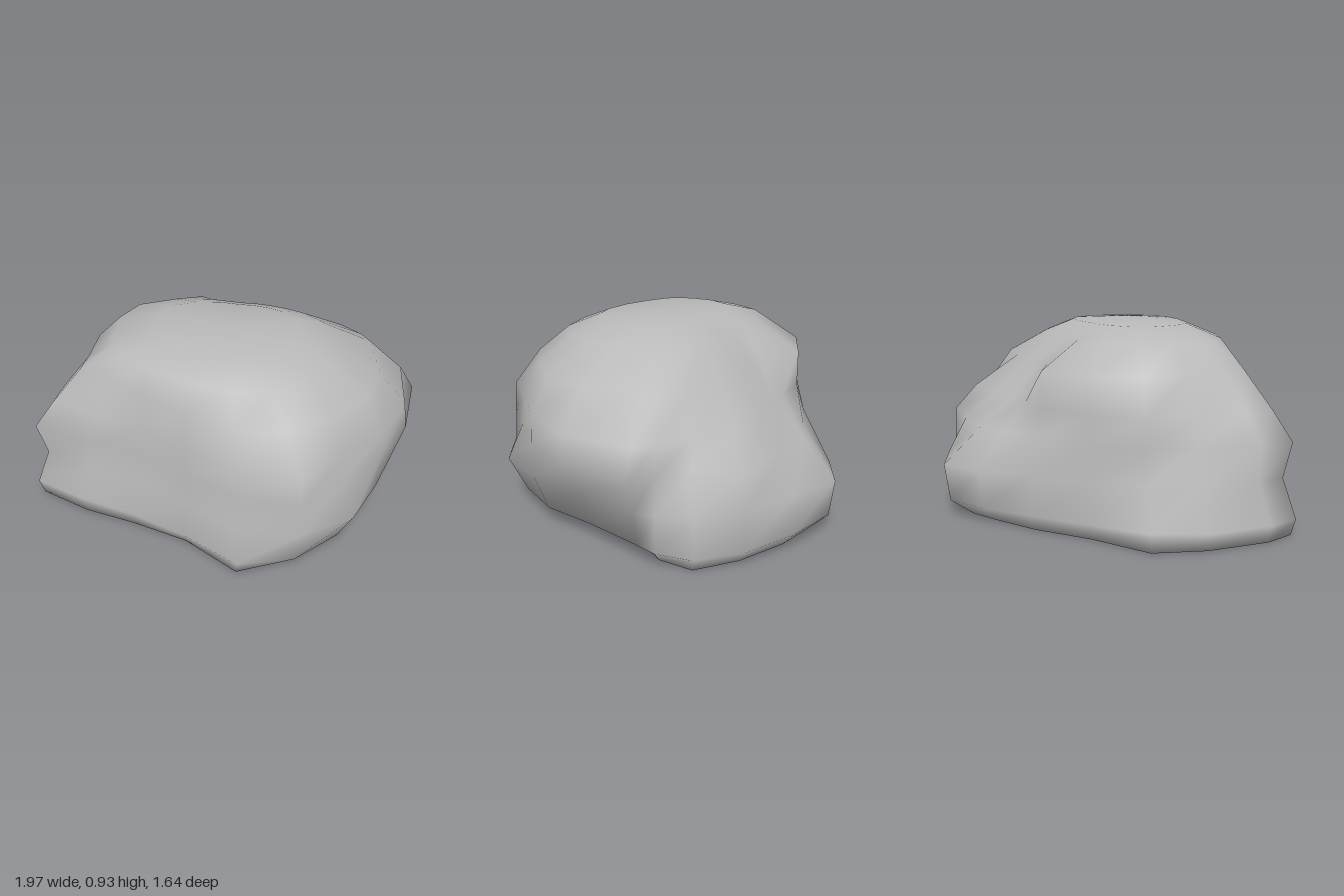
import * as THREE from 'three';

// Bearings (degrees) of the rock's ridges and hollows, from +x towards +z
const bearings = [-3, 18, 36, 53, 71, 90, 112, 138, 157, 171, 180, 198, 215, 236, 262, 280, 293, 310, 327, 341, 351];

// Radius at each bearing, for the main cross-sections from the ground up
const foot = [.72, .62, .65, .65, .72, .77, .60, .63, .78, .96, .93, .85, .80, .64, .64, .69, .77, .82, .86, .90, .82];
const belly = [.90, .83, .86, .90, .86, .75, .62, .61, .73, .91, .87, .80, .70, .65, .66, .79, .90, .87, .91, .92, .91];
const waist = [1.0, .92, .86, .82, .85, .73, .60, .59, .72, .95, .88, .76, .69, .64, .62, .65, .72, .78, .90, .83, .90];
const chest = [.92, .90, .85, .80, .84, .71, .58, .57, .67, .85, .80, .72, .69, .63, .58, .54, .56, .64, .78, .80, .86];
const shoulder = [.74, .76, .76, .72, .71, .66, .54, .53, .58, .70, .66, .65, .64, .63, .58, .42, .42, .45, .54, .66, .72];
const brow = [.50, .54, .56, .56, .56, .52, .48, .48, .52, .53, .53, .53, .50, .40, .32, .29, .29, .32, .37, .43, .47];

const crown = new THREE.Vector3(0.06, 0.93, 0.1);

// Closed ring of points at one height
const ring = (y, radii) => radii.map((r, i) => {
  const a = THREE.MathUtils.degToRad(bearings[i]);
  return new THREE.Vector3(r * Math.cos(a), y, r * Math.sin(a));
});

function rockGeometry() {
  const n = bearings.length;
  const browRing = ring(0.85, brow);
  const rings = [
    ring(0, foot.map((r) => r * 0.85)), // keeps the underside flat
    ring(0, foot),
    ring(0.08, foot.map((r, i) => (r + belly[i]) / 2 * 1.05)), // swelling toe
    ring(0.26, belly),
    ring(0.43, waist),
    ring(0.56, chest),
    ring(0.73, shoulder),
    browRing,
    browRing.map((p) => p.clone().lerp(crown, 0.35).setY(0.91)), // rounds off towards the crown
  ];
  const points = [...rings.flat(), new THREE.Vector3(), crown];
  const top = points.length - 1;
  const bottom = top - 1;
  const last = bottom - n;

  const index = [];
  for (let i = 0; i < n; i++) {
    const j = (i + 1) % n;
    // Underside and crown
    index.push(bottom, i, j, top, last + j, last + i);
    // Walls between neighbouring rings
    for (let k = 0; k < last; k += n) {
      index.push(k + i, k + n + i, k + j, k + j, k + n + i, k + n + j);
    }
  }
  const geometry = new THREE.BufferGeometry().setFromPoints(points);
  geometry.setIndex(index);
  geometry.computeVertexNormals();
  return geometry;
}

export function createModel() {
  const stone = new THREE.MeshStandardMaterial({ color: 0xbababa });
  stone.name = 'grey stone';
  const boulder = new THREE.Mesh(rockGeometry(), stone);
  boulder.name = 'boulder';
  const group = new THREE.Group();
  group.name = 'rock';
  group.add(boulder);
  return group;
}
